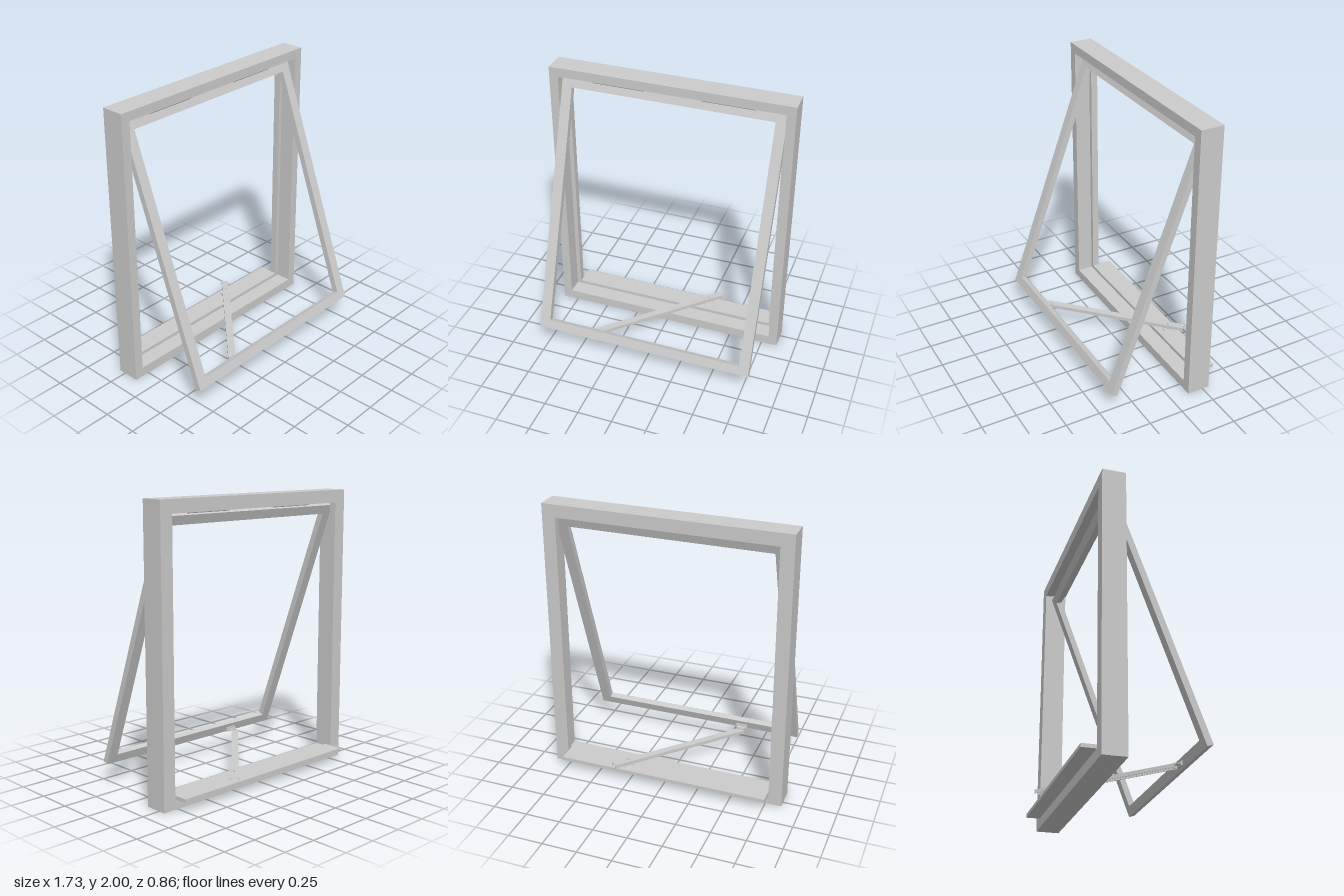
import * as THREE from 'three';

const material = new THREE.MeshStandardMaterial({ color: 0xcccccc });

function add(parent, name, geometry, x = 0, y = 0, z = 0) {
  const mesh = new THREE.Mesh(geometry, material);
  mesh.name = name;
  mesh.position.set(x, y, z);
  parent.add(mesh);
  return mesh;
}

// Box given by its limits on each axis
function block(parent, name, [x0, x1], [y0, y1], [z0, z1]) {
  return add(parent, name, new THREE.BoxGeometry(x1 - x0, y1 - y0, z1 - z0),
    (x0 + x1) / 2, (y0 + y1) / 2, (z0 + z1) / 2);
}

function polygon(points) {
  return points.map(([x, y]) => new THREE.Vector2(x, y));
}

const rectangle = (w, y0, y1) => polygon([[-w, y0], [w, y0], [w, y1], [-w, y1]]);

function extrude(points, depth, hole) {
  const shape = new THREE.Shape(points);
  if (hole) shape.holes.push(new THREE.Path(hole));
  return new THREE.ExtrudeGeometry(shape, { depth, bevelEnabled: false });
}

export function createModel() {
  const model = new THREE.Group();
  model.name = 'awningWindow';

  // Fixed outer frame
  const frame = new THREE.Group();
  frame.name = 'fixedFrame';
  model.add(frame);
  add(frame, 'frameRing',
    extrude(rectangle(0.865, 0, 2), 0.165, rectangle(0.8, 0.07, 1.935)), 0, 0, -0.3);

  // Stops along the back of the opening and the projecting sill
  for (const side of [-1, 1]) {
    block(frame, side > 0 ? 'leftStop' : 'rightStop',
      side > 0 ? [0.77, 0.8] : [-0.8, -0.77], [0.07, 1.935], [-0.3, -0.25]);
  }
  block(frame, 'topStop', [-0.77, 0.77], [1.91, 1.935], [-0.3, -0.25]);
  block(frame, 'sill', [-0.768, 0.768], [0.07, 0.095], [-0.398, -0.25]);

  // Sash swung outwards by 20 degrees, placed by its lower front edge
  const sash = new THREE.Group();
  sash.name = 'sash';
  sash.position.set(0, 0.16, 0.43);
  sash.rotation.x = THREE.MathUtils.degToRad(-20);
  model.add(sash);
  const sashHeight = 1.857;
  add(sash, 'sashRing', extrude(rectangle(0.796, 0, sashHeight), 0.044,
    rectangle(0.722, 0.065, sashHeight - 0.065)), 0, 0, -0.044);

  // Hinge barrels on the top rail
  for (const x of [-0.385, 0.395]) {
    const barrel = add(model, 'hingeBarrel',
      new THREE.CylinderGeometry(0.017, 0.017, 0.37, 20), x, 1.908, -0.212);
    barrel.rotation.z = Math.PI / 2;
  }

  // Stay arm: a channel open at the bottom, running from the sash to the sill
  const start = new THREE.Vector3(-0.382, 0.162, 0.333);
  const end = new THREE.Vector3(0.348, 0.143, -0.417);
  const w = 0.025, t = 0.004, h = 0.026;
  const channel = polygon([[-w, 0], [-w, -h], [-w + t, -h], [-w + t, -t],
    [w - t, -t], [w - t, -h], [w, -h], [w, 0]]);
  const arm = add(model, 'stayArm', extrude(channel, start.distanceTo(end)), ...start);
  arm.lookAt(end);

  // Bracket joining the arm to the bottom rail
  block(model, 'bracketPlate', [-0.412, -0.325], [0.15, 0.182], [0.358, 0.37]);
  const lug = add(model, 'bracketLug', extrude(
    polygon([[-0.41, -0.36], [-0.327, -0.36], [-0.35, -0.32], [-0.388, -0.32]]), 0.008), 0, 0.162, 0);
  lug.rotation.x = -Math.PI / 2;
  add(model, 'bracketPin', new THREE.CylinderGeometry(0.006, 0.006, 0.04, 12), -0.369, 0.157, 0.33);

  // Pivot pin standing on the sill
  add(model, 'pivotBase', new THREE.CylinderGeometry(0.035, 0.04, 0.008, 20), 0.27, 0.099, -0.33);
  add(model, 'pivotPin', new THREE.CylinderGeometry(0.007, 0.007, 0.06, 12), 0.27, 0.126, -0.33);

  return model;
}
